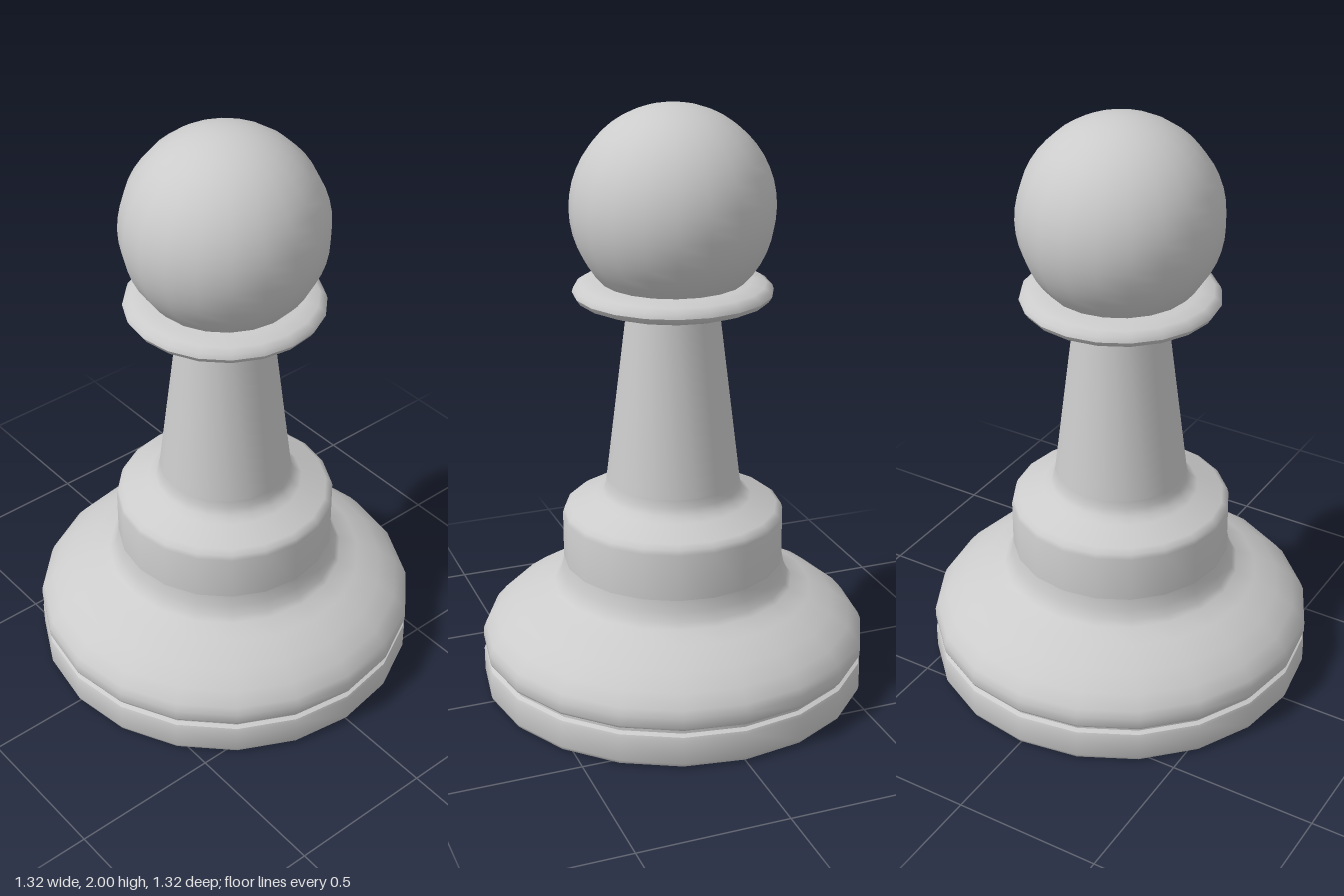
import * as THREE from 'three';
import { toCreasedNormals } from 'three/addons/utils/BufferGeometryUtils.js';

const SIDES = 20;
const material = new THREE.MeshStandardMaterial({ color: 0xcccccc });

// Turned part from [radius, height] pairs, listed bottom to top
function turned(name, profile) {
  const points = profile.map(([r, y]) => new THREE.Vector2(r, y));
  const geometry = toCreasedNormals(new THREE.LatheGeometry(points, SIDES), 0.75);
  const mesh = new THREE.Mesh(geometry, material);
  mesh.name = name;
  return mesh;
}

export function createModel() {
  const group = new THREE.Group();
  group.name = 'pawn';

  // Foot disc, groove and domed skirt
  group.add(turned('base', [
    [0, 0], [0.645, 0], [0.655, 0.006], [0.66, 0.018],
    [0.66, 0.1], [0.656, 0.111], [0.642, 0.118],
    [0.642, 0.13], [0.656, 0.136], [0.66, 0.145],
    [0.66, 0.178], [0.65, 0.203], [0.615, 0.245], [0.555, 0.29],
    [0.475, 0.335], [0.41, 0.362], [0.395, 0.38],
    [0.382, 0.412], [0.375, 0.45],
  ]));

  // Drum with rounded shoulder
  group.add(turned('drum', [
    [0.375, 0.45], [0.375, 0.61], [0.37, 0.627], [0.352, 0.64],
    [0.265, 0.672], [0.24, 0.69], [0.229, 0.712], [0.225, 0.74],
  ]));

  // Tapering stem
  group.add(turned('stem', [[0.225, 0.74], [0.15, 1.35]]));

  // Thin rounded collar
  group.add(turned('collar', [
    [0, 1.335], [0.15, 1.338], [0.22, 1.346], [0.285, 1.358], [0.318, 1.371],
    [0.33, 1.389], [0.325, 1.405], [0.305, 1.418], [0.26, 1.428], [0, 1.43],
  ]));

  // Ball head
  const head = new THREE.Mesh(new THREE.SphereGeometry(0.335, SIDES, 24), material);
  head.name = 'head';
  head.position.y = 1.665;
  group.add(head);

  return group;
}
